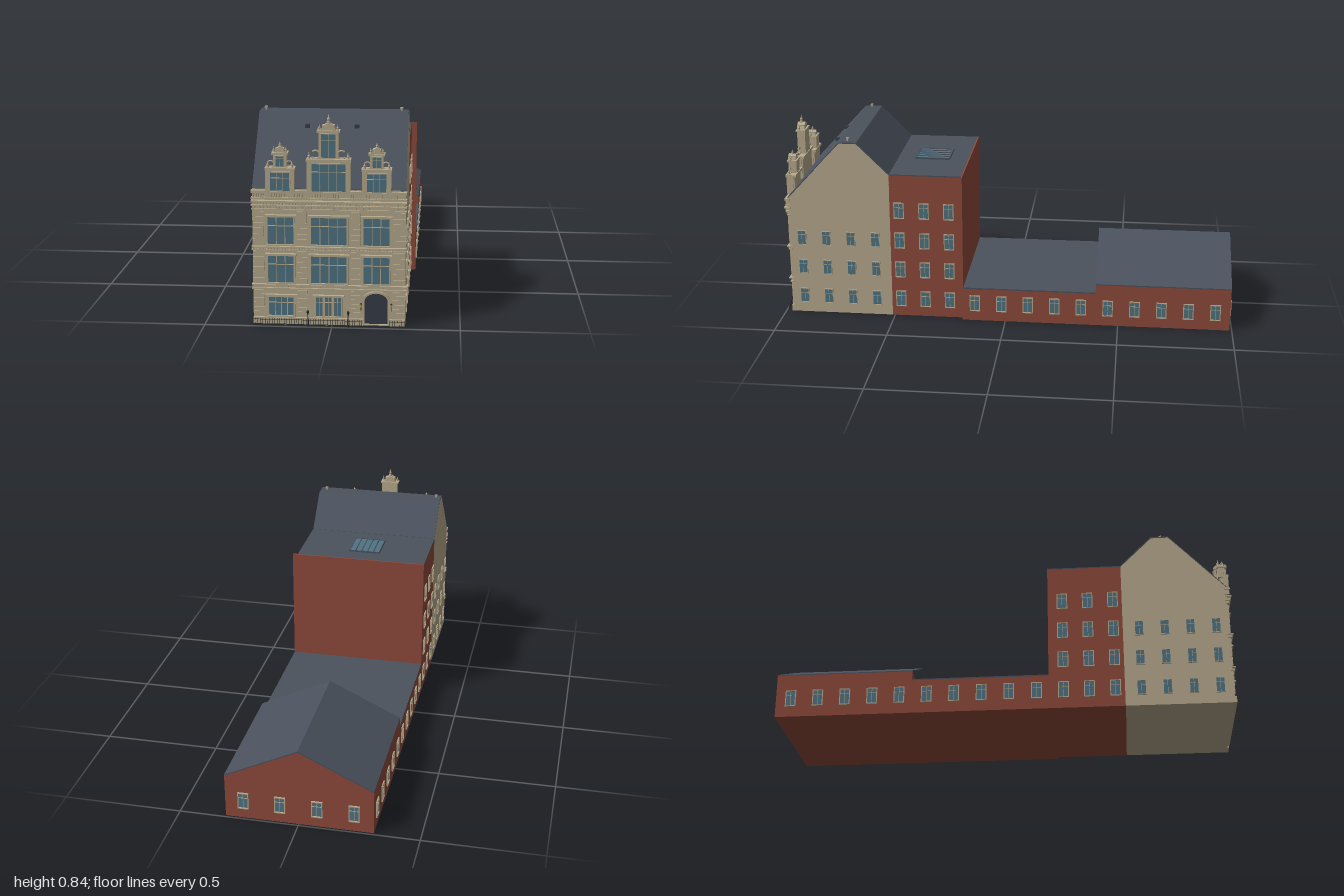
import * as THREE from 'three';
import { mergeGeometries } from 'three/addons/utils/BufferGeometryUtils.js';

const mat = (color) => new THREE.MeshStandardMaterial({ color, side: THREE.DoubleSide });
const stone = mat(0xb8ab8e), brick = mat(0x8f4a3b), slate = mat(0x4b525d);
const glass = mat(0x4f7484), dark = mat(0x363e48), iron = mat(0x2b2d30), amber = mat(0xc9a53a);

const W0 = -0.31, W1 = 0.285, WB = 0.307, FZ = 0.965, MID = -0.0125;

function add(parent, name, geo, material) {
  const m = new THREE.Mesh(geo, material);
  m.name = name;
  parent.add(m);
  return m;
}
// box given by its extents
function span(x0, x1, y0, y1, z0, z1) {
  return new THREE.BoxGeometry(x1 - x0, y1 - y0, z1 - z0)
    .translate((x0 + x1) / 2, (y0 + y1) / 2, (z0 + z1) / 2);
}
// (z, y) profile extruded between x0 and x1
function prism(pts, x0, x1) {
  const s = new THREE.Shape(pts.map((p) => new THREE.Vector2(...p)));
  return new THREE.ExtrudeGeometry(s, { depth: x1 - x0, bevelEnabled: false })
    .rotateY(-Math.PI / 2).translate(x1, 0, 0);
}
// window in its own XY plane, facing +z, origin at bottom centre
function makeWindow(name, w, h, cols, transom, f, depth) {
  const g = new THREE.Group();
  g.name = name;
  add(g, 'glass', span(-w / 2, w / 2, 0, h, 0, depth * 0.35), glass);
  const bars = [
    span(-w / 2 - f, w / 2 + f, h, h + f, 0, depth),
    span(-w / 2 - f, w / 2 + f, -f, 0, 0, depth * 1.2),
    span(-w / 2 - f, -w / 2, 0, h, 0, depth), span(w / 2, w / 2 + f, 0, h, 0, depth),
  ];
  for (let i = 1; i < cols; i++) {
    const x = -w / 2 + (w * i) / cols;
    bars.push(span(x - f / 4, x + f / 4, 0, h, 0, depth * 0.7));
  }
  if (transom) bars.push(span(-w / 2, w / 2, h * transom - f / 4, h * transom + f / 4, 0, depth * 0.7));
  add(g, 'frame', mergeGeometries(bars), stone);
  return g;
}
function place(parent, obj, x, y, z, ry = 0) {
  obj.position.set(x, y, z);
  obj.rotation.y = ry;
  parent.add(obj);
}
// small turned pinnacle
function pinnacle(h, r) {
  const p = [[0, 0], [1, 0], [1, 0.2], [0.5, 0.26], [0.9, 0.42], [0.85, 0.52], [0.35, 0.62], [0.25, 0.85], [0, 1]];
  return new THREE.LatheGeometry(p.map(([a, b]) => new THREE.Vector2(a * r, b * h)), 8);
}

// ornate roof gable: wide lower window, narrow upper stage, scrolls, pediment, pinnacles
function makeGable(name, d) {
  const g = new THREE.Group();
  g.name = name;
  const { w, y1, uw, y2, top, cols } = d, y0 = 0.53, zf = 0.976;
  add(g, 'gableWalls', mergeGeometries([
    span(-w, w, y0, y1, 0.945, zf), span(-uw, uw, y1, y2, 0.94, zf - 0.004),
    span(-w - 0.006, w + 0.006, y1 - 0.008, y1 + 0.003, 0.937, 0.984),
    span(-w - 0.004, -w + 0.012, y0, y1 - 0.008, 0.95, 0.981),
    span(w - 0.012, w + 0.004, y0, y1 - 0.008, 0.95, 0.981),
    span(-uw - 0.006, uw + 0.006, y2 - 0.004, y2 + 0.004, 0.937, 0.981),
    span(-uw * 0.62, uw * 0.62, y2, y2 + d.ph, 0.945, 0.976),
  ]), stone);
  place(g, makeWindow('lowerWindow', w * 2 - 0.03, y1 - y0 - 0.022, cols, 0.72, 0.004, 0.006), 0, y0 + 0.006, zf);
  place(g, makeWindow('upperWindow', uw * 2 - 0.02, y2 - y1 - 0.018, 2, 0.75, 0.003, 0.006), 0, y1 + 0.008, zf - 0.004);
  // pediment with rounded head
  const ped = new THREE.Shape();
  ped.moveTo(-uw * 0.75, 0);
  ped.quadraticCurveTo(-uw * 0.7, d.ph * 0.8, 0, d.ph * 1.25);
  ped.quadraticCurveTo(uw * 0.7, d.ph * 0.8, uw * 0.75, 0);
  add(g, 'pediment', new THREE.ExtrudeGeometry(ped, { depth: 0.034, bevelEnabled: false, curveSegments: 6 })
    .translate(0, y2 + 0.003, 0.944), stone);
  const fy = y2 + d.ph * 1.2;
  add(g, 'finial', pinnacle(top - fy, d.r * 0.45).translate(0, fy, 0.962), stone);
  for (const s of [-1, 1]) {
    add(g, 'scroll', new THREE.TorusGeometry(d.r, d.r * 0.24, 6, 16, 5)
      .rotateZ(0.8).scale(s, 1, 1).translate(s * (uw + d.r * 0.75), y1 + d.r * 1.15, 0.968), stone);
    add(g, 'cornerPinnacle', pinnacle(0.03, 0.006).translate(s * (w - 0.005), y1, 0.97), stone);
    add(g, 'upperPinnacle', pinnacle(0.024, 0.005).translate(s * (uw - 0.003), y2 + 0.003, 0.966), stone);
  }
  g.position.x = d.x;
  return g;
}

export function createModel() {
  const root = new THREE.Group();
  root.name = 'townHouse';

  // front house and its mansard roof
  const body = [[0.51, 0], [FZ, 0], [FZ, 0.545], [0.725, 0.8], [0.65, 0.8], [0.51, 0.662]];
  add(root, 'frontHouse', prism(body, W0, W1), stone);
  add(root, 'frontRoof', prism([[FZ, 0.546], [0.725, 0.806], [0.648, 0.806], [0.51, 0.668],
    [0.51, 0.662], [0.65, 0.8], [0.725, 0.8], [FZ, 0.54]], W0, W1), slate);

  // brick middle block with projecting back wall, roof and skylight
  add(root, 'middleBlock', span(W0, W1, 0, 0.662, 0.19, 0.511), brick);
  add(root, 'middleRoof', span(W0, W1, 0.662, 0.667, 0.19, 0.511), slate);
  add(root, 'middleBackWall', span(W0, WB, 0, 0.668, 0.187, 0.193), brick);
  add(root, 'skylight', span(-0.085, 0.055, 0.667, 0.672, 0.278, 0.425), glass);
  const ribs = [span(-0.087, 0.057, 0.667, 0.674, 0.274, 0.279), span(-0.087, 0.057, 0.667, 0.674, 0.424, 0.429)];
  for (let i = 0; i <= 5; i++) ribs.push(span(-0.087 + i * 0.028, -0.083 + i * 0.028, 0.667, 0.675, 0.276, 0.427));
  add(root, 'skylightBars', mergeGeometries(ribs), slate);

  // low wing and pitched rear wing, its loft open to the front
  add(root, 'lowWing', span(W0, WB, 0, 0.15, -0.4, 0.19), brick);
  add(root, 'lowRoof', span(W0, WB, 0.15, 0.156, -0.4, 0.188), slate);
  add(root, 'rearWing', span(W0, WB, 0, 0.193, -0.99, -0.4), brick);
  const tri = new THREE.Shape([[W0, 0.193], [WB, 0.193], [0, 0.34]].map((p) => new THREE.Vector2(...p)));
  add(root, 'rearGable', new THREE.ExtrudeGeometry(tri, { depth: 0.006, bevelEnabled: false }).translate(0, 0, -0.99), brick);
  const pitch = new THREE.Shape([[W0, 0.192], [0, 0.339], [WB, 0.192], [WB, 0.197], [0, 0.345], [W0, 0.197]]
    .map((p) => new THREE.Vector2(...p)));
  add(root, 'rearRoof', new THREE.ExtrudeGeometry(pitch, { depth: 0.591, bevelEnabled: false }).translate(0, 0, -0.991), slate);

  // side and back windows
  for (const s of [-1, 1]) {
    const ry = (s * Math.PI) / 2, near = s > 0 ? W1 : W0, far = s > 0 ? WB : W0;
    for (const z of [0.91, 0.8, 0.69, 0.58])
      for (const y of [0.05, 0.19, 0.328]) place(root, makeWindow('sideWindow', 0.034, 0.062, 2, 0.7, 0.003, 0.005), near, y, z, ry);
    for (const z of [0.47, 0.36, 0.25])
      for (const y of [0.05, 0.19, 0.328, 0.468]) place(root, makeWindow('middleWindow', 0.038, 0.066, 2, 0.7, 0.004, 0.005), near, y, z, ry);
    for (let i = 0; i < 10; i++)
      place(root, makeWindow('wingWindow', 0.038, 0.066, 2, 0.7, 0.004, 0.005), far, 0.05, 0.135 - i * 0.1178, ry);
  }
  for (const x of [-0.23, -0.077, 0.077, 0.23])
    place(root, makeWindow('backWindow', 0.038, 0.066, 2, 0.7, 0.004, 0.007), x, 0.05, -0.99, Math.PI);

  // facade windows with hoods
  const bays = [[-0.2, 0.1, 3], [MID, 0.138, 4], [0.172, 0.1, 3]];
  for (const y of [0.17, 0.325])
    for (const [x, w, n] of bays) {
      place(root, makeWindow('facadeWindow', w, 0.108, n, 0.68, 0.006, 0.009), x, y, FZ);
      add(root, 'windowHood', span(x - w / 2 - 0.011, x + w / 2 + 0.011, y + 0.111, y + 0.118, FZ, 0.98), stone);
    }
  place(root, makeWindow('groundWindow', 0.096, 0.075, 4, 0.7, 0.006, 0.009), -0.2, 0.036, FZ);
  for (const x of [-0.051, -0.015, 0.021])
    place(root, makeWindow('groundCasement', 0.026, 0.078, 2, 0.72, 0.005, 0.009), x, 0.036, FZ);
  for (const [x, w] of [[-0.2, 0.062], [-0.015, 0.062]])
    add(root, 'groundHood', span(x - w, x + w, 0.115, 0.122, FZ, 0.979), stone);

  // arched doorway
  const arch = (r, h) => {
    const s = new THREE.Shape();
    s.moveTo(-r, 0.008);
    s.lineTo(r, 0.008);
    s.lineTo(r, h - 0.032);
    s.absellipse(0, h - 0.032, r, 0.032, 0, Math.PI);
    return s;
  };
  const surround = arch(0.052, 0.141);
  surround.holes.push(arch(0.045, 0.134));
  add(root, 'door', new THREE.ExtrudeGeometry(arch(0.045, 0.134), { depth: 0.002, bevelEnabled: false }).translate(0.172, 0, FZ), dark);
  add(root, 'doorSurround', new THREE.ExtrudeGeometry(surround, { depth: 0.011, bevelEnabled: false }).translate(0.172, 0, FZ), stone);

  // belt courses, cornices and balustrade rails: [bottom, top, projection]
  const trim = [];
  for (const [a, b, d] of [[0.142, 0.148, 0.008], [0.158, 0.164, 0.014], [0.3, 0.304, 0.008], [0.311, 0.317, 0.014],
    [0.461, 0.465, 0.006], [0.477, 0.482, 0.012], [0.493, 0.5, 0.018], [0.505, 0.512, 0.012], [0.53, 0.54, 0.014]])
    trim.push(span(W0 - 0.004, W1 + 0.004, a, b, FZ - 0.01, FZ + d));
  // brackets, dentils and balusters: [bottom, top, projection, width, count]
  for (const [a, b, d, w, n] of [[0.152, 0.158, 0.01, 0.006, 24], [0.304, 0.311, 0.01, 0.005, 54],
    [0.468, 0.477, 0.01, 0.006, 48], [0.484, 0.493, 0.014, 0.006, 48], [0.512, 0.53, 0.01, 0.005, 60]])
    for (let i = 0; i < n; i++) {
      const x = W0 + ((i + 0.5) * (W1 - W0)) / n;
      trim.push(span(x - w / 2, x + w / 2, a, b, FZ, FZ + d));
    }
  add(root, 'facadeTrim', mergeGeometries(trim), stone);

  // rusticated piers
  const piers = [], rows = [[0.036, 0.14], [0.168, 0.296], [0.322, 0.456]];
  for (const [x0, x1] of [[W0, -0.266], [-0.137, -0.098], [0.073, 0.109], [0.236, W1]])
    for (const [a, b] of rows)
      for (let i = 0, n = 6, h = (b - a) / n; i < n; i++)
        piers.push(span(x0, x1, a + i * h + 0.001, a + (i + 1) * h - 0.001, FZ, FZ + 0.004));
  add(root, 'rusticatedPiers', mergeGeometries(piers), stone);
  add(root, 'plinth', mergeGeometries([span(W0, 0.12, 0, 0.028, FZ, 0.974), span(0.224, W1, 0, 0.028, FZ, 0.974)]), stone);

  // roof gables
  const small = { w: 0.052, y1: 0.627, uw: 0.026, y2: 0.685, top: 0.73, ph: 0.02, r: 0.013, cols: 3 };
  root.add(makeGable('leftGable', { ...small, x: 0.172 }), makeGable('rightGable', { ...small, x: -0.2 }));
  root.add(makeGable('centreGable', { x: MID, w: 0.08, y1: 0.663, uw: 0.038, y2: 0.773, top: 0.84, ph: 0.024, r: 0.016, cols: 4 }));

  // roof vents and chimney pots
  for (const x of [-0.112, 0.083]) add(root, 'roofVent', span(x - 0.009, x + 0.009, 0.75, 0.764, 0.765, 0.784), dark);
  for (const x of [-0.287, 0.256])
    add(root, 'chimneyPot', mergeGeometries([span(x - 0.003, x + 0.003, 0.803, 0.816, 0.688, 0.694),
      span(x - 0.006, x + 0.006, 0.815, 0.821, 0.685, 0.697)]), stone);

  // railing, lamp posts and wall lanterns
  const rail = [];
  for (const [x0, x1] of [[W0, 0.118], [0.226, W1]]) {
    for (const y of [0.006, 0.024]) rail.push(span(x0, x1, y, y + 0.0015, 0.989, 0.9905));
    for (let x = x0; x <= x1; x += 0.0095) rail.push(span(x - 0.0008, x + 0.0008, 0, 0.03, 0.989, 0.9905));
  }
  add(root, 'railing', mergeGeometries(rail), iron);
  for (const x of [-0.094, 0.064]) {
    add(root, 'lampPost', new THREE.CylinderGeometry(0.0015, 0.0025, 0.052, 8).translate(x, 0.026, 0.993), iron);
    add(root, 'lampHead', new THREE.CylinderGeometry(0.006, 0.003, 0.012, 6).translate(x, 0.056, 0.993), iron);
    add(root, 'lampCap', new THREE.ConeGeometry(0.006, 0.006, 6).translate(x, 0.065, 0.993), iron);
  }
  for (const x of [0.113, 0.231]) {
    add(root, 'lanternBracket', span(x - 0.0015, x + 0.0015, 0.066, 0.08, FZ, 0.982), iron);
    add(root, 'lantern', new THREE.CylinderGeometry(0.005, 0.003, 0.012, 6).translate(x, 0.086, 0.98), amber);
    add(root, 'lanternCap', new THREE.ConeGeometry(0.006, 0.005, 6).translate(x, 0.0945, 0.98), iron);
  }
  return root;
}
